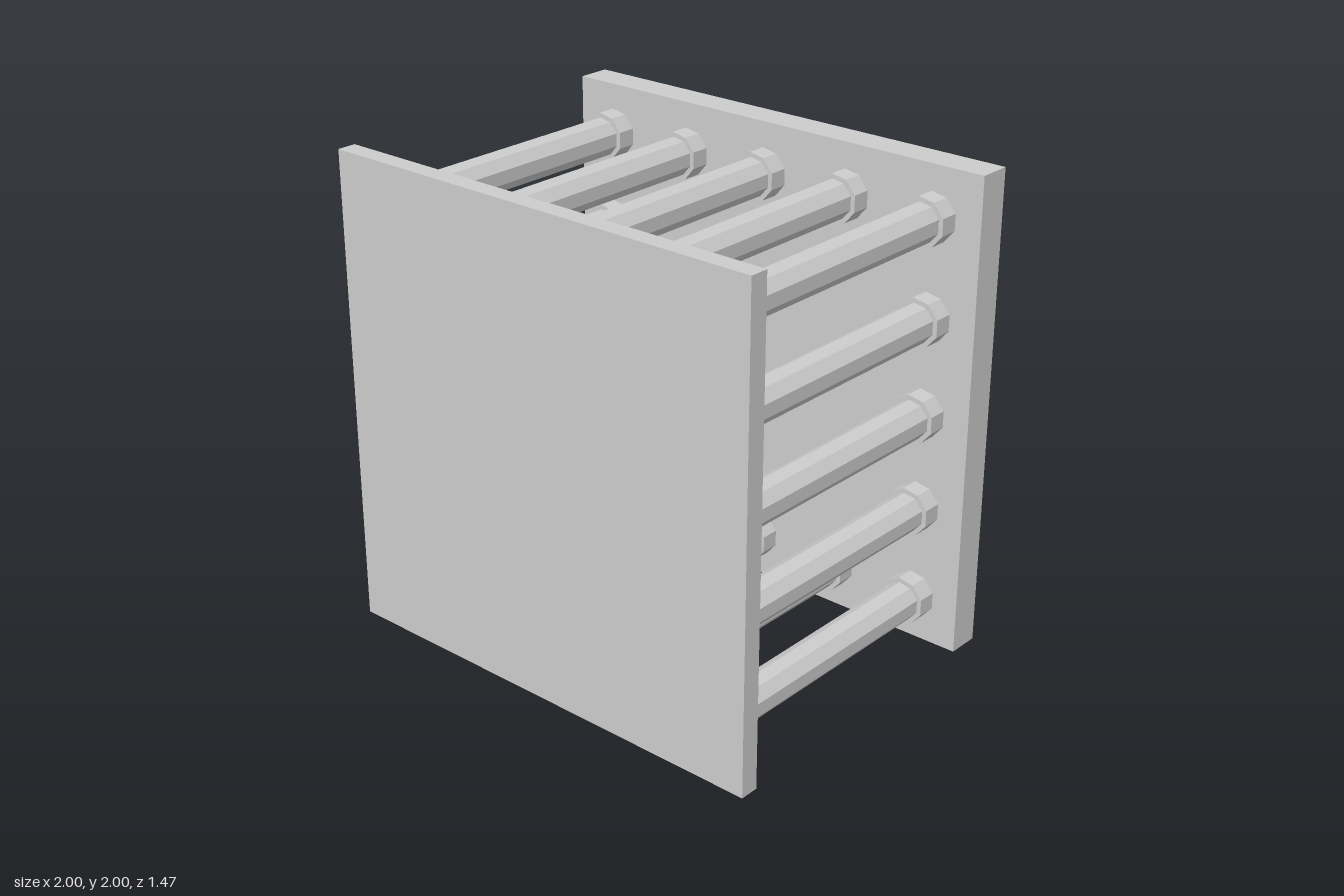
import * as THREE from 'three';

export function createModel() {
  const model = new THREE.Group();
  model.name = 'plateRack';

  const grey = new THREE.MeshStandardMaterial({ color: 0xcccccc, flatShading: true });
  grey.name = 'light grey';

  // Square plate spanning the depth range z0..z1
  function addPlate(name, z0, z1) {
    const plate = new THREE.Mesh(new THREE.BoxGeometry(2, 2, z1 - z0), grey);
    plate.name = name;
    plate.position.set(0, 1, (z0 + z1) / 2);
    model.add(plate);
  }
  addPlate('frontPlate', 0.655, 0.735);
  addPlate('backPlate', -0.735, -0.597);

  // Nine-sided prism along z, with one corner pointing to -x
  function prism(radius, z0, z1) {
    const g = new THREE.CylinderGeometry(radius, radius, z1 - z0, 9, 1, false, -Math.PI / 2);
    return g.rotateX(Math.PI / 2).translate(0, 0, (z0 + z1) / 2);
  }
  const parts = {
    rod: prism(0.08, -0.585, 0.655),
    frontCollar: prism(0.1, 0.575, 0.655),
    backCollar: prism(0.1, -0.585, -0.505),
  };

  // Collared rods around the rim of a 5 x 5 grid
  for (let i = 0; i < 5; i++) {
    for (let j = 0; j < 5; j++) {
      if (i % 4 !== 0 && j % 4 !== 0) continue;
      const strut = new THREE.Group();
      strut.name = 'strut';
      for (const [name, geometry] of Object.entries(parts)) {
        const mesh = new THREE.Mesh(geometry, grey);
        mesh.name = name;
        strut.add(mesh);
      }
      strut.position.set(-0.8 + 0.4 * i, 0.2 + 0.4 * j, 0);
      model.add(strut);
    }
  }
  return model;
}
